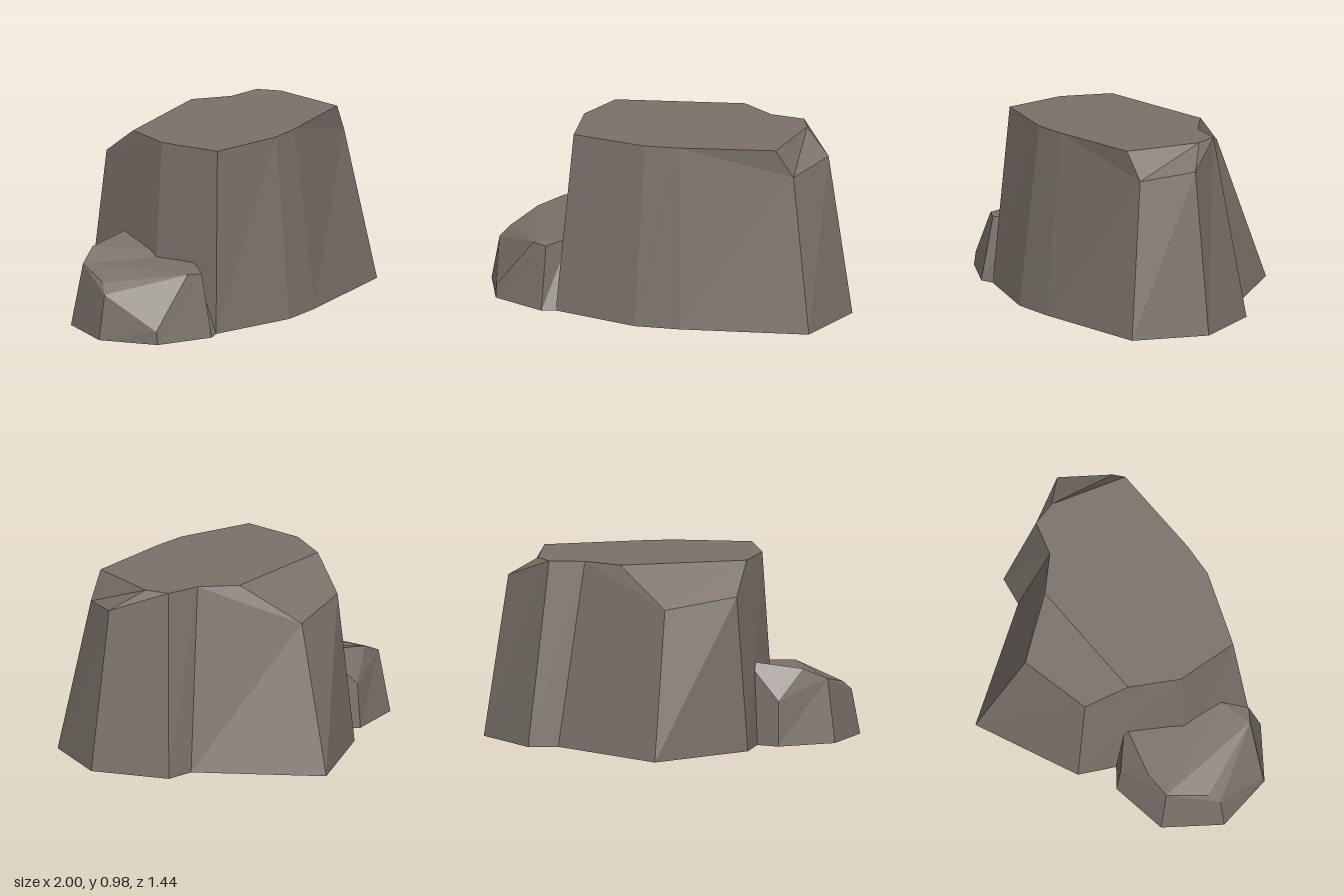
import * as THREE from 'three';

const stone = new THREE.MeshStandardMaterial({ color: 0x7a7169, flatShading: true });
stone.name = 'stone';

// Each column runs up the side of a rock: base [x, z], shoulder [x, y, z], top [x, y, z].
// Columns go clockwise seen from above; a column without a bevel has no separate top.
function facetedRock(name, columns) {
  const cols = columns.map(([b, shoulder, top]) => ({
    base: new THREE.Vector3(b[0], 0, b[1]),
    shoulder: new THREE.Vector3(...shoulder),
    top: new THREE.Vector3(...(top || shoulder)),
  }));
  const positions = [];
  const tri = (a, b, c) => {
    const area = new THREE.Triangle(a, b, c).getArea();
    if (area > 1e-6) for (const p of [a, b, c]) positions.push(p.x, p.y, p.z);
  };
  // Walls and bevels
  cols.forEach((a, i) => {
    const b = cols[(i + 1) % cols.length];
    tri(a.base, a.shoulder, b.base);
    tri(a.shoulder, b.shoulder, b.base);
    tri(a.shoulder, a.top, b.shoulder);
    tri(a.top, b.top, b.shoulder);
  });
  // Flat caps, turned to face up or down
  const cap = (ring, up) => {
    const outline = ring.map((p) => new THREE.Vector2(p.x, p.z));
    for (const [i, j, k] of THREE.ShapeUtils.triangulateShape(outline, [])) {
      const n = new THREE.Triangle(ring[i], ring[j], ring[k]).getNormal(new THREE.Vector3());
      if (n.y * up > 0) tri(ring[i], ring[j], ring[k]);
      else tri(ring[i], ring[k], ring[j]);
    }
  };
  cap(cols.map((c) => c.top), 1);
  cap(cols.map((c) => c.base), -1);

  const geometry = new THREE.BufferGeometry();
  geometry.setAttribute('position', new THREE.Float32BufferAttribute(positions, 3));
  geometry.computeVertexNormals();
  const mesh = new THREE.Mesh(geometry, stone);
  mesh.name = name;
  return mesh;
}

export function createModel() {
  const group = new THREE.Group();
  group.name = 'rocks';

  // Tall flat-topped boulder
  const H = 0.98;
  group.add(facetedRock('largeBoulder', [
    [[0.08, -0.72], [0.03, 0.775, -0.45], [0.27, H, -0.22]],
    [[0.60, -0.22], [0.46, H, -0.10]],
    [[0.76, -0.23], [0.65, H, -0.09]],
    [[1.00, 0.13], [0.87, 0.87, 0.14], [0.71, H, 0.03]],
    [[0.90, 0.54], [0.77, 0.83, 0.42], [0.68, H, 0.45]],
    [[0.22, 0.69], [0.18, H, 0.58]],
    [[-0.02, 0.72], [0.00, H, 0.61]],
    [[-0.50, 0.62], [-0.42, H, 0.56]],
    [[-0.545, 0.22], [-0.48, H, 0.22]],
    [[-0.41, -0.35], [-0.35, 0.82, -0.28], [-0.40, H, -0.05]],
  ]));

  // Low rock leaning against its side
  group.add(facetedRock('smallRock', [
    [[-0.30, 0.40], [-0.30, 0.37, 0.40]],
    [[-0.45, 0.60], [-0.48, 0.36, 0.45]],
    [[-0.57, 0.65], [-0.57, 0.34, 0.58]],
    [[-0.87, 0.53], [-0.87, 0.07, 0.52], [-0.65, 0.345, 0.55]],
    [[-1.00, 0.23], [-0.955, 0.24, 0.23], [-0.91, 0.29, 0.18]],
    [[-0.87, -0.08], [-0.83, 0.34, -0.03]],
    [[-0.57, -0.20], [-0.57, 0.24, -0.175], [-0.70, 0.40, -0.075]],
    [[-0.40, -0.12], [-0.40, 0.44, -0.07]],
  ]));

  return group;
}
